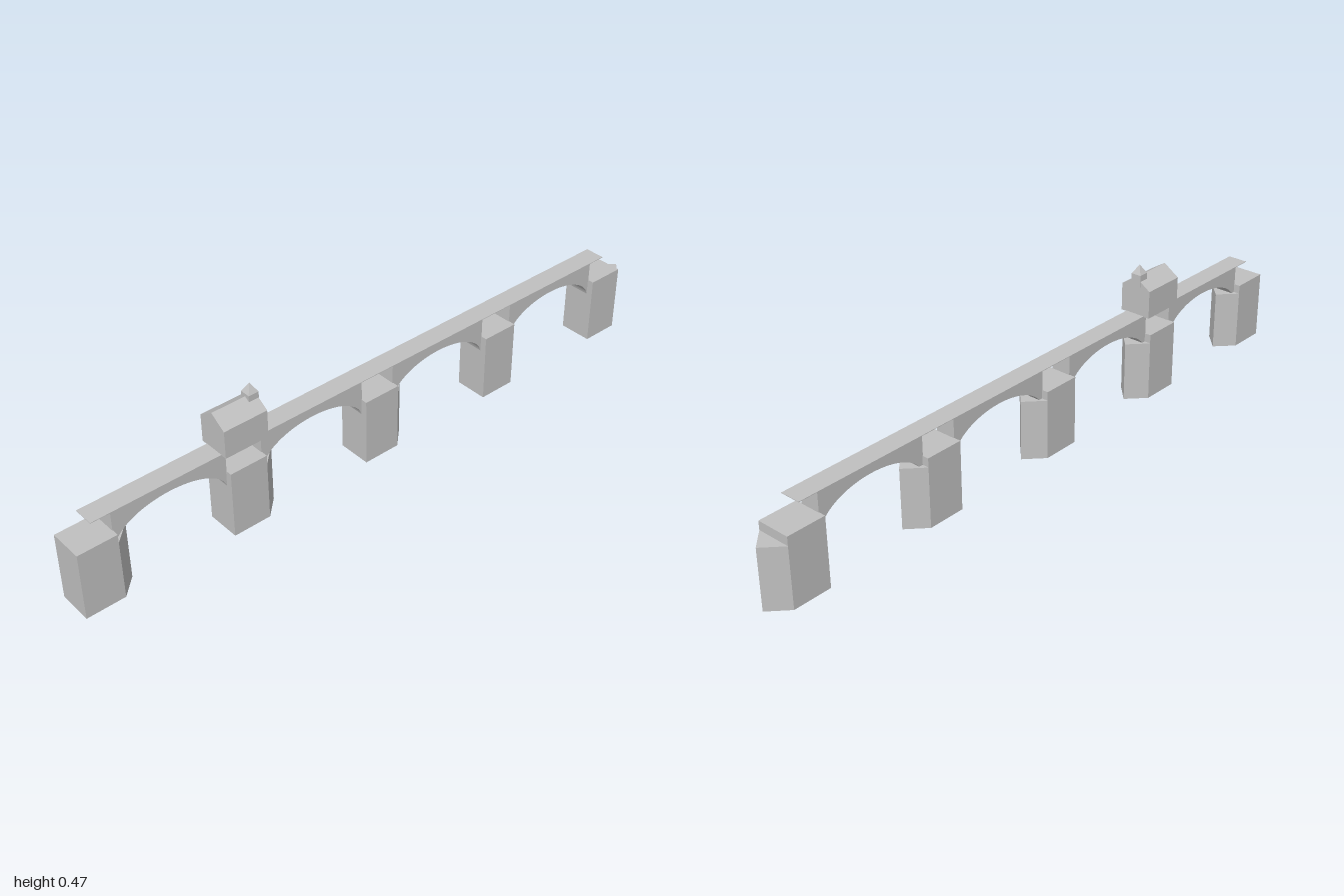
import * as THREE from 'three';

export function createModel() {
  const stone = new THREE.MeshStandardMaterial({ color: 0xc0c0c0, side: THREE.DoubleSide });
  stone.name = 'greyStone';
  stone.flatShading = true;

  // The bridge is built along x, then turned to run diagonally
  const model = new THREE.Group();
  model.name = 'bridge';
  const bridge = new THREE.Group();
  bridge.name = 'bridgeBody';
  bridge.rotation.y = Math.PI / 6;
  bridge.position.set(-0.0045, 0, -0.008);
  model.add(bridge);

  const add = (name, geometry, x, y, z = 0, parent = bridge) => {
    const mesh = new THREE.Mesh(geometry, stone);
    mesh.name = name;
    mesh.position.set(x, y, z);
    parent.add(mesh);
    return mesh;
  };
  const outline = (points) => new THREE.Shape(points.map(([x, y]) => new THREE.Vector2(x, y)));

  // Upright prism from a plan outline, left open underneath
  const openPrism = (plan, height) => {
    const solid = new THREE.ExtrudeGeometry(outline(plan), { depth: height, bevelEnabled: false });
    solid.rotateX(-Math.PI / 2);
    const source = solid.toNonIndexed ? (solid.index ? solid.toNonIndexed() : solid) : solid;
    const p = source.attributes.position;
    const kept = [];
    for (let i = 0; i < p.count; i += 3) {
      const top = Math.max(p.getY(i), p.getY(i + 1), p.getY(i + 2));
      if (top < 0.001) continue;
      for (let k = i; k < i + 3; k++) kept.push(p.getX(k), p.getY(k), p.getZ(k));
    }
    const geometry = new THREE.BufferGeometry();
    geometry.setAttribute('position', new THREE.Float32BufferAttribute(kept, 3));
    geometry.computeVertexNormals();
    return geometry;
  };

  const pitch = 0.52;
  const firstPier = -1.05;
  const halfPier = 0.066;
  const halfWidth = 0.058;
  const deckWidth = 0.07;
  const deckTop = 0.3;

  // Piers with a lower pointed prow on one end
  const pierGeometry = openPrism(
    [[-halfPier, -halfWidth], [halfPier, -halfWidth], [halfPier, halfWidth], [-halfPier, halfWidth]], 0.236);
  const prowGeometry = openPrism([[halfPier, -halfWidth], [halfPier + 0.06, 0], [halfPier, halfWidth]], 0.206);
  for (let i = 0; i < 5; i++) {
    const x = firstPier + i * pitch;
    add('pier', pierGeometry, x, 0);
    add('pierProw', prowGeometry, x, 0);
  }

  // Arches spanning from pier to pier
  const halfSpan = pitch / 2 - halfPier + 0.002;
  const springY = 0.165;
  const arch = new THREE.Shape();
  arch.moveTo(-halfSpan, deckTop);
  arch.lineTo(-halfSpan, springY);
  arch.absellipse(0, springY, halfSpan, 0.105, Math.PI, 0, true);
  arch.lineTo(halfSpan, deckTop);
  const archGeometry = new THREE.ExtrudeGeometry(arch, { depth: deckWidth, bevelEnabled: false, curveSegments: 20 });
  archGeometry.translate(0, 0, -deckWidth / 2);
  for (let i = 0; i < 4; i++) add('arch', archGeometry, firstPier + (i + 0.5) * pitch, 0);

  // Thin roadway
  const deck = new THREE.BoxGeometry(4 * pitch, 0.002, deckWidth);
  add('roadway', deck, firstPier + 2 * pitch, deckTop + 0.001);

  // Gabled chapel above the second pier
  const chapel = new THREE.Group();
  chapel.name = 'chapel';
  chapel.position.set(firstPier + pitch, deckTop, 0);
  bridge.add(chapel);
  const length = 0.155;
  const gable = outline([[-0.056, 0], [0.056, 0], [0.056, 0.096], [0, 0.133], [-0.056, 0.096]]);
  const house = new THREE.ExtrudeGeometry(gable, { depth: length, bevelEnabled: false });
  house.translate(0, 0, -length / 2);
  house.rotateY(Math.PI / 2);
  add('chapelHouse', house, 0, 0, 0, chapel);

  // Bell turret with a pyramid cap
  const turret = 0.036;
  const turretX = length / 2 - turret / 2 + 0.001;
  add('bellTurret', new THREE.BoxGeometry(turret, 0.045, turret), turretX, 0.12, 0, chapel);
  const cap = new THREE.ConeGeometry(turret / Math.SQRT2, 0.03, 4);
  cap.rotateY(Math.PI / 4);
  add('turretCap', cap, turretX, 0.1575, 0, chapel);

  return model;
}
